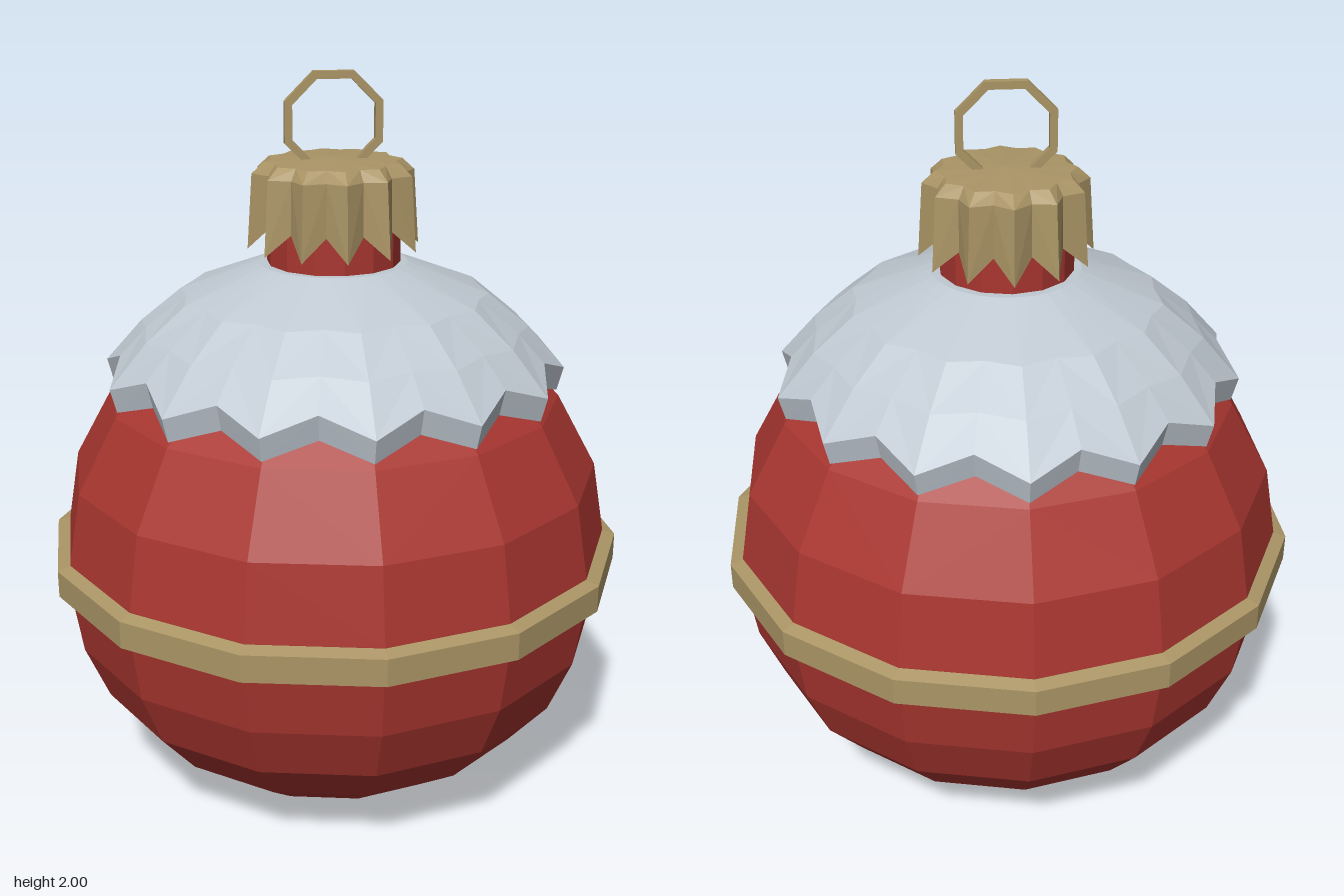
import * as THREE from 'three';

const paint = (name, color) => {
  const m = new THREE.MeshStandardMaterial({ color, flatShading: true });
  m.name = name;
  return m;
};

// Skin rings of [radius, height], listed bottom to top along the outside.
// Each ring may be one pair, or [pairAtPoint, pairAtNotch] for a pleated edge.
function loft(columns, rings) {
  const at = (j, i) => {
    const ring = rings[j];
    const [r, y] = Array.isArray(ring[0]) ? ring[i % 2] : ring;
    const a = ((i % columns) / columns) * Math.PI * 2;
    return [r * Math.sin(a), y, r * Math.cos(a), r];
  };
  const pos = [];
  const tri = (...pts) => pts.forEach((p) => pos.push(p[0], p[1], p[2]));
  for (let j = 0; j < rings.length - 1; j++) {
    for (let i = 0; i < columns; i++) {
      const a = at(j, i), b = at(j, i + 1), c = at(j + 1, i + 1), d = at(j + 1, i);
      // Alternate the diagonal so pleats stay mirrored
      if (i % 2) {
        if (a[3] > 0) tri(a, b, d);
        if (c[3] > 0) tri(b, c, d);
      } else {
        if (a[3] > 0) tri(a, b, c);
        if (c[3] > 0) tri(a, c, d);
      }
    }
  }
  const g = new THREE.BufferGeometry();
  g.setAttribute('position', new THREE.Float32BufferAttribute(pos, 3));
  g.computeVertexNormals();
  return g;
}

function octagon(Path, radius) {
  const p = new Path();
  for (let i = 0; i < 8; i++) {
    const a = ((i + 0.5) / 8) * Math.PI * 2;
    p[i ? 'lineTo' : 'moveTo'](radius * Math.cos(a), radius * Math.sin(a));
  }
  p.closePath();
  return p;
}

export function createModel() {
  const red = paint('red', 0xa93630);
  const gold = paint('gold', 0xab9566);
  const snow = paint('snow', 0xc0c9d2);

  const model = new THREE.Group();
  model.name = 'ornament';
  const add = (name, geometry, material) => {
    const mesh = new THREE.Mesh(geometry, material);
    mesh.name = name;
    model.add(mesh);
    return mesh;
  };

  // Bauble with a flat base
  add('bauble', loft(14, [
    [0, 0], [0.26, 0], [0.42, 0.08], [0.565, 0.185], [0.675, 0.315], [0.74, 0.47],
    [0.765, 0.63], [0.765, 0.73], [0.73, 0.93], [0.62, 1.13], [0.46, 1.29], [0.18, 1.44],
  ]), red);
  add('neck', loft(14, [[0.18, 1.42], [0.18, 1.66], [0, 1.66]]), red);

  // Band round the middle
  add('band', loft(14, [
    [0.755, 0.625], [0.8, 0.643], [0.8, 0.717], [0.755, 0.732],
  ]), gold);

  // Snow cover: 14 points and 14 notches, with a thick rim
  add('snowCover', loft(28, [
    [[0.5, 1.2], [0.48, 1.22]],
    [[0.615, 1.145], [0.565, 1.19]],
    [[0.632, 1.21], [0.582, 1.26]],
    [[0.53, 1.325], [0.51, 1.335]],
    [[0.42, 1.415], [0.4, 1.42]],
    [[0.2, 1.5], [0.2, 1.5]],
    [0.16, 1.5],
  ]), snow);

  // Fluted metal cap with pointed skirt
  add('metalCap', loft(24, [
    [0.175, 1.6],
    [[0.232, 1.54], [0.188, 1.6]],
    [[0.218, 1.74], [0.185, 1.74]],
    [[0.185, 1.77], [0.165, 1.77]],
    [0, 1.778],
  ]), gold);

  // Hanging loop
  const shape = octagon(THREE.Shape, 0.141);
  shape.holes.push(octagon(THREE.Path, 0.119));
  const loopGeometry = new THREE.ExtrudeGeometry(shape, { depth: 0.022, bevelEnabled: false });
  loopGeometry.translate(0, 1.87, -0.011);
  add('hangingLoop', loopGeometry, gold);

  return model;
}
